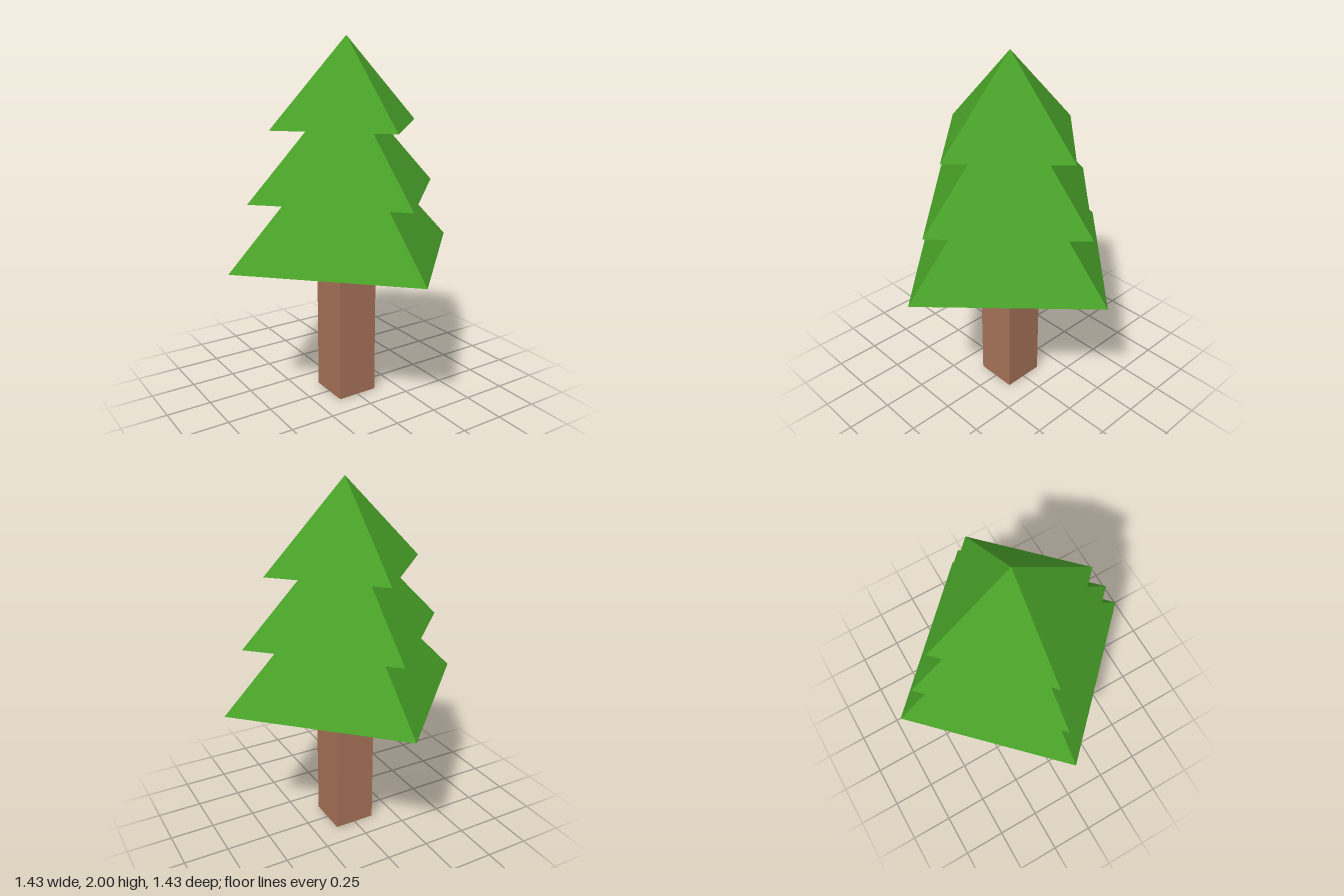
import * as THREE from 'three';

export function createModel() {
  const tree = new THREE.Group();
  tree.name = 'tree';

  const leafGreen = new THREE.MeshStandardMaterial({ color: 0x48a028, flatShading: true });
  leafGreen.name = 'leafGreen';
  const barkBrown = new THREE.MeshStandardMaterial({ color: 0xa67258, flatShading: true });
  barkBrown.name = 'barkBrown';

  // Square trunk, ending at the underside of the lowest tier
  const trunkHeight = 0.826;
  const trunk = new THREE.Mesh(new THREE.BoxGeometry(0.237, trunkHeight, 0.237), barkBrown);
  trunk.name = 'trunk';
  trunk.position.y = trunkHeight / 2;
  tree.add(trunk);

  // Stacked four-sided pyramids with corners on the x and z axes
  const tiers = [
    { name: 'lowerFoliage', base: 0.826, radius: 0.713 },
    { name: 'middleFoliage', base: 1.175, radius: 0.595 },
    { name: 'upperFoliage', base: 1.538, radius: 0.462 },
  ];
  for (const { name, base, radius } of tiers) {
    const height = radius; // every tier slopes at 45 degrees along its ridges
    const tier = new THREE.Mesh(new THREE.ConeGeometry(radius, height, 4), leafGreen);
    tier.name = name;
    tier.position.y = base + height / 2;
    tree.add(tier);
  }

  return tree;
}
